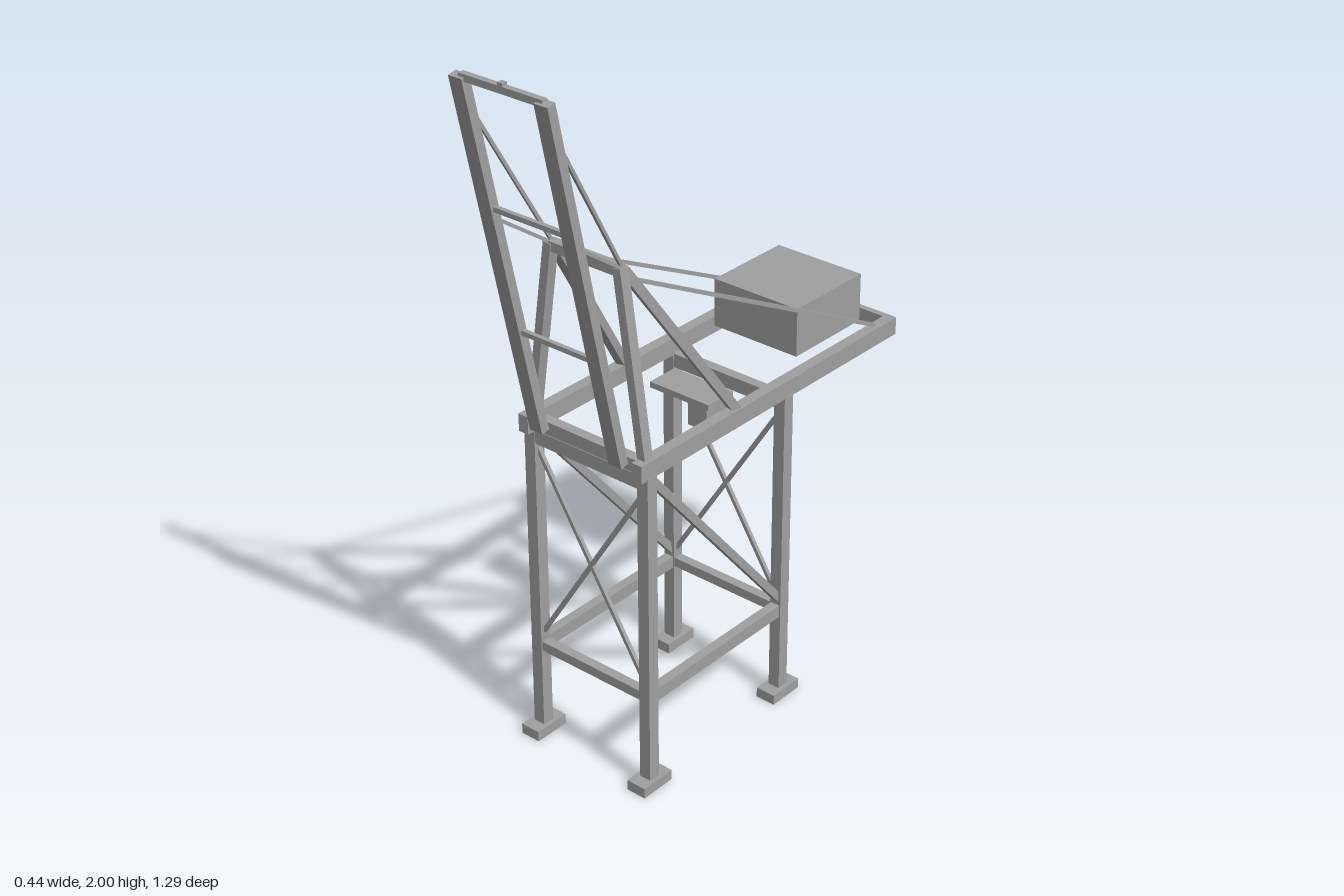
import * as THREE from 'three';

export function createModel() {
  const model = new THREE.Group();
  const steel = new THREE.MeshStandardMaterial({ color: 0xa0a0a0 });
  steel.name = 'grey steel';

  function add(name, geometry) {
    const mesh = new THREE.Mesh(geometry, steel);
    mesh.name = name;
    model.add(mesh);
    return mesh;
  }
  // Box given by its extents on each axis
  function block(name, [x0, x1], [y0, y1], [z0, z1]) {
    add(name, new THREE.BoxGeometry(x1 - x0, y1 - y0, z1 - z0))
      .position.set((x0 + x1) / 2, (y0 + y1) / 2, (z0 + z1) / 2);
  }
  // Straight member from a to b; w is the horizontal width, t the thickness
  function beam(name, a, b, w, t = w) {
    const p = new THREE.Vector3(...a), q = new THREE.Vector3(...b);
    const mesh = add(name, new THREE.BoxGeometry(w, t, p.distanceTo(q)));
    mesh.position.copy(p).add(q).multiplyScalar(0.5);
    mesh.lookAt(q);
  }
  const boomZ = (y) => 0.415 + (y - 0.975) * 0.22;
  const frontZ = 0.375, rearZ = -0.165, legX = 0.19;

  // Portal ends: cross beams and thin X bracing
  for (const z of [frontZ, rearZ]) {
    block('lowerCrossBeam', [-legX, legX], [0.27, 0.298], [z - 0.014, z + 0.014]);
    block('upperCrossBeam', [-legX, legX], [0.905, 0.945], [z - 0.015, z + 0.015]);
    for (const s of [-1, 1]) {
      beam('crossBrace', [-s * 0.18, 0.32, z], [s * 0.18, 0.89, z], 0.011);
    }
  }

  for (const s of [-1, 1]) {
    // Legs on feet
    for (const z of [frontZ, rearZ]) {
      const x = s * legX;
      block('foot', [x - 0.03, x + 0.03], [0, 0.03], [z - 0.054, z + 0.054]);
      block('leg', [x - 0.0175, x + 0.0175], [0.03, 0.945], [z - 0.0175, z + 0.0175]);
    }
    // Side frame
    const x = s * legX;
    block('sideBeam', [x - 0.014, x + 0.014], [0.265, 0.302], [rearZ, frontZ]);
    beam('sideBrace', [x, 0.93, 0.365], [x, 0.32, -0.155], 0.02, 0.022);
    block('girder', [x - 0.016, x + 0.016], [0.94, 0.99], [-0.635, 0.413]);

    // Upper frame post and raking strut
    beam('mastPost', [s * 0.19, 0.95, frontZ], [s * 0.112, 1.485, frontZ], 0.03, 0.025);
    beam('mastStrut', [s * 0.19, 0.98, 0.03], [s * 0.112, 1.475, 0.365], 0.025);

    // Raised boom and stays
    beam('boomBeam', [s * 0.132, 0.972, boomZ(0.972)], [s * 0.132, 1.985, boomZ(1.985)], 0.042, 0.026);
    beam('upperBoomStay', [s * 0.112, 1.475, 0.365], [s * 0.13, 1.9, 0.61], 0.009);
    beam('lowerBoomStay', [s * 0.112, 1.475, 0.365], [s * 0.13, 1.6, 0.545], 0.009);
    beam('backStay', [s * 0.115, 1.455, 0.365], [s * 0.187, 0.99, -0.56], 0.01);
  }

  // Mast head, girder end and front bracket
  block('mastHead', [-0.115, 0.115], [1.463, 1.49], [0.36, 0.387]);
  block('girderEndBeam', [-0.19, 0.19], [0.945, 0.985], [-0.645, -0.626]);
  block('frontSill', [-0.205, 0.205], [0.94, 0.982], [0.358, 0.388]);

  // Boom rungs, tip beam and tip lamp
  for (const y of [1.28, 1.634]) {
    beam('boomRung', [-0.115, y, boomZ(y)], [0.115, y, boomZ(y)], 0.013);
  }
  block('boomTip', [-0.13, 0.13], [1.974, 1.992], [0.624, 0.642]);
  block('tipLamp', [-0.008, 0.008], [1.99, 2], [0.625, 0.641]);

  // Machinery house, trolley and hanging cab
  block('machineryHouse', [-0.14, 0.14], [0.99, 1.13], [-0.556, -0.28]);
  block('trolley', [-0.1, 0.097], [0.943, 0.96], [-0.07, 0.03]);
  block('cab', [0.03, 0.092], [0.88, 0.943], [-0.055, 0.03]);

  return model;
}
